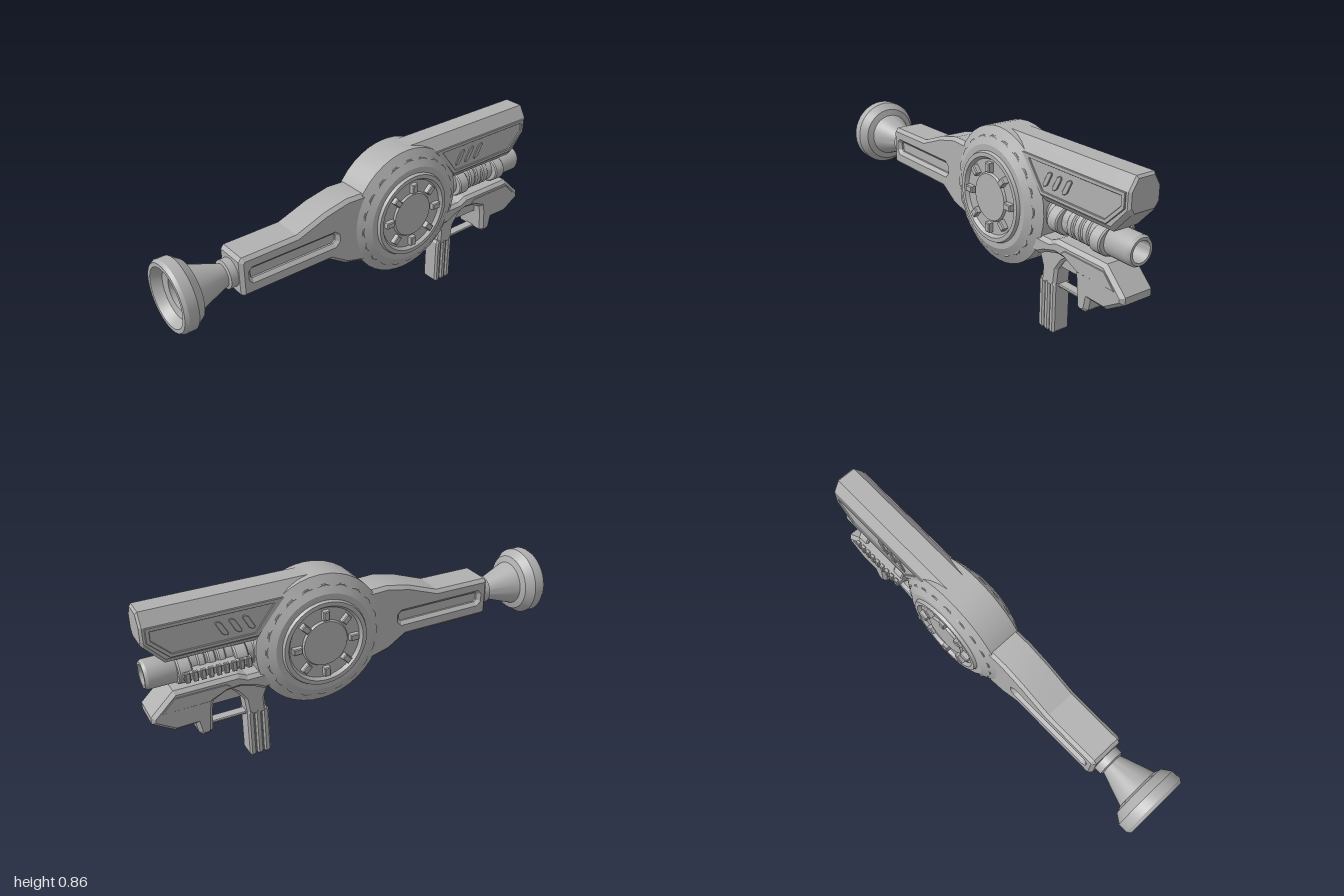
import * as THREE from 'three';
import { toCreasedNormals } from 'three/addons/utils/BufferGeometryUtils.js';

const AXIS_Y = 0.545; // height of the barrel axis
const DISC_X = 0.203; // centre of the drum

export function createModel() {
  const group = new THREE.Group();
  const grey = new THREE.MeshStandardMaterial({ color: 0xb0b0b0 });
  grey.name = 'grey metal';

  const add = (name, geo, x = 0, y = 0, z = 0, crease = 0.5) => {
    const mesh = new THREE.Mesh(toCreasedNormals(geo, crease), grey);
    mesh.name = name;
    mesh.position.set(x, y, z);
    group.add(mesh);
    return mesh;
  };
  const vecs = (pts) => pts.map(([x, y]) => new THREE.Vector2(x, y));

  // Side outline extruded to z = -half..half with chamfered edges
  const slab = (pts, half, bevel, holes = []) => {
    const shape = new THREE.Shape(vecs(pts));
    holes.forEach((h) => shape.holes.push(new THREE.Path(vecs(h))));
    const geo = new THREE.ExtrudeGeometry(shape, {
      depth: 2 * (half - bevel), bevelEnabled: bevel > 0, bevelThickness: bevel,
      bevelSize: bevel, bevelOffset: -bevel, bevelSegments: 1,
    });
    return geo.translate(0, 0, bevel - half);
  };

  // Turned part along x: points are [radius, x]
  const turned = (pts, seg = 40) => new THREE.LatheGeometry(vecs(pts), seg).rotateZ(-Math.PI / 2);

  // Skin over closed rings of [x, y, z] points, with flat end caps
  const loft = (rings) => {
    const n = rings[0].length, idx = [];
    for (let r = 0; r < rings.length - 1; r++) {
      for (let i = 0; i < n; i++) {
        const j = (i + 1) % n, a = r * n + i, b = r * n + j;
        idx.push(a, b, b + n, a, b + n, a + n);
      }
    }
    const last = (rings.length - 1) * n;
    for (let i = 1; i < n - 1; i++) {
      idx.push(0, i + 1, i, last, last + i, last + i + 1);
    }
    const geo = new THREE.BufferGeometry();
    geo.setAttribute('position', new THREE.Float32BufferAttribute(rings.flat(2), 3));
    geo.setIndex(idx);
    return geo;
  };

  // Rear bell with a stepped, hollow dish
  add('rearBell', turned([[0, -0.88], [0.07, -0.88], [0.075, -0.95], [0.112, -0.957], [0.135, -1], [0.153, -1],
    [0.163, -0.985], [0.163, -0.94], [0.135, -0.9], [0.105, -0.89], [0.052, -0.74],
    [0.066, -0.735], [0.066, -0.69], [0, -0.69]]), 0, AXIS_Y);

  // Stock with a long recess on both sides
  const slot = [[-0.648, 0.535], [-0.638, 0.525], [-0.218, 0.525], [-0.205, 0.538],
    [-0.205, 0.562], [-0.218, 0.575], [-0.638, 0.575], [-0.648, 0.565]];
  add('stock', slab([[-0.7, 0.465], [-0.685, 0.452], [-0.24, 0.452], [-0.15, 0.395], [0, 0.355],
    [0.1, 0.4], [0.1, 0.7], [-0.04, 0.722], [-0.14, 0.726], [-0.26, 0.7], [-0.41, 0.645],
    [-0.685, 0.642], [-0.7, 0.625]], 0.085, 0.016, [slot]), 0, 0, 0, 0.3);
  add('stockRecessFloor', new THREE.BoxGeometry(0.52, 0.12, 0.12), -0.425, 0.55);

  // Round drum with raised rim rings
  const half = [[0.313, 0.078], [0.235, 0.12], [0.208, 0.12], [0.202, 0.134], [0.183, 0.134],
    [0.172, 0.118], [0.112, 0.118], [0.106, 0.128], [0, 0.128]];
  const drum = [...half.map(([r, z]) => [r, -z]).reverse(), ...half];
  add('drum', new THREE.LatheGeometry(vecs(drum), 40).rotateX(Math.PI / 2), DISC_X, AXIS_Y, 0, 0.3);

  // Scalloped step round the drum
  const scallops = [];
  for (let i = 0; i < 80; i++) {
    const a = (i / 80) * Math.PI * 2, r = i % 4 < 2 ? 0.276 : 0.269;
    scallops.push([Math.cos(a) * r, Math.sin(a) * r]);
  }
  add('drumScallopedStep', slab(scallops, 0.103, 0.003), DISC_X, AXIS_Y);

  // Eight lugs on each drum face
  for (const side of [1, -1]) {
    for (let i = 0; i < 8; i++) {
      const a = (i * Math.PI) / 4;
      const lug = add('drumLug', slab([[-0.022, -0.015], [0.022, -0.015], [0.022, 0.015], [-0.022, 0.015]], 0.016, 0.004),
        DISC_X + Math.cos(a) * 0.14, AXIS_Y + Math.sin(a) * 0.14, side * 0.127);
      lug.rotation.z = a;
    }
  }

  // Upper housing with sloped shoulders and an undercut nose
  const housingRing = ([x, low, inset]) => {
    const right = [[0.855 - inset, 0.046 - inset / 2], [0.797, 0.081 - inset],
      [low + 0.025, 0.081 - inset], [low, 0.062 - inset]];
    const left = right.map(([y, z]) => [y, -z]).reverse();
    return [...right, ...left].map(([y, z]) => [x, y, z]);
  };
  add('upperHousing', loft([[0.2, 0.612, 0], [0.905, 0.612, 0], [0.985, 0.7, 0], [0.995, 0.71, 0.01]].map(housingRing)),
    0, 0, 0, 0.2);

  // Framed side panels with three slanted vents
  const frameOut = [[0.375, 0.795], [0.5, 0.642], [0.885, 0.642], [0.975, 0.73], [0.975, 0.795]];
  const frameIn = [[0.42, 0.778], [0.512, 0.659], [0.877, 0.659], [0.957, 0.737], [0.957, 0.778]];
  const vent = [[-0.026, -0.035], [-0.015, -0.035], [0, -0.025], [0.026, 0.025],
    [0.024, 0.035], [0.013, 0.035], [0, 0.027], [-0.028, -0.025]];
  for (const side of [1, -1]) {
    add('panelFrame', slab(frameOut, 0.006, 0.002, [frameIn]), 0, 0, side * 0.082);
    for (let i = 0; i < 3; i++) {
      add('panelVent', slab(vent, 0.005, 0.002), 0.54 + i * 0.06, 0.717, side * 0.082);
    }
  }

  // Barrel with an open muzzle, oval collars and thin rings
  add('barrel', turned([[0, 0.4], [0.062, 0.4], [0.062, 0.84], [0.066, 0.85], [0.066, 0.982],
    [0.058, 0.995], [0.046, 0.995], [0.044, 0.88], [0, 0.88]]), 0, AXIS_Y);
  const ring = (name, x, w, r) => add(name, turned([[0, x - w], [r - 0.006, x - w], [r, x - w + 0.006],
    [r, x + w - 0.006], [r - 0.006, x + w], [0, x + w]]), 0, AXIS_Y);
  for (const x of [0.58, 0.83]) ring('barrelCollar', x, 0.03, 0.093).scale.y = 0.74;
  for (const x of [0.5, 0.66, 0.705, 0.75]) ring('barrelRing', x, 0.018, 0.068);

  // Toothed rack on the far side of the barrel
  add('rackBar', new THREE.BoxGeometry(0.3, 0.03, 0.05), 0.695, AXIS_Y, -0.085);
  for (let i = 0; i < 9; i++) {
    add('rackTooth', slab([[-0.01, -0.024], [0.01, -0.024], [0.01, 0.024], [-0.01, 0.024]], 0.009, 0.003),
      0.56 + i * 0.034, AXIS_Y, -0.113);
  }

  // Lower fore body, arched over the trigger space
  add('lowerForeBody', slab([[0.3, 0.33], [0.44, 0.375], [0.48, 0.365], [0.53, 0.39], [0.6, 0.41],
    [0.66, 0.405], [0.72, 0.375], [0.735, 0.285], [0.9, 0.282], [0.995, 0.34], [0.995, 0.372],
    [0.89, 0.474], [0.6, 0.474], [0.56, 0.455], [0.3, 0.455]], 0.085, 0.016), 0, 0, 0, 0.3);
  for (const side of [1, -1]) {
    add('lowerSidePlate', slab([[0.64, 0.43], [0.74, 0.384], [0.95, 0.384], [0.89, 0.446], [0.66, 0.446]], 0.004, 0.002),
      0, 0, side * 0.084);
  }
  add('foreStop', slab([[0.725, 0.36], [0.735, 0.23], [0.755, 0.217], [0.78, 0.217], [0.798, 0.235],
    [0.81, 0.3], [0.81, 0.36]], 0.085, 0.016), 0, 0, 0, 0.3);

  // Trigger space: thin web above and guard bar below
  add('triggerWeb', new THREE.BoxGeometry(0.2, 0.085, 0.06), 0.64, 0.373);
  add('triggerGuard', slab([[0.54, 0.225], [0.745, 0.225], [0.745, 0.238], [0.54, 0.238]], 0.025, 0.004));

  // Grip: flared neck and three upright ribs
  add('gripNeck', slab([[0.468, 0.22], [0.556, 0.22], [0.566, 0.31], [0.6, 0.36], [0.64, 0.4],
    [0.45, 0.4], [0.452, 0.35], [0.472, 0.3]], 0.045, 0.012), 0, 0, 0, 0.3);
  add('gripCore', slab([[0.465, 0.01], [0.552, 0.01], [0.552, 0.25], [0.465, 0.25]], 0.038, 0.006));
  for (const x of [0.473, 0.508, 0.543]) {
    add('gripRib', slab([[-0.017, 0.012], [-0.007, 0], [0.007, 0], [0.017, 0.012],
      [0.017, 0.235], [0.007, 0.25], [-0.007, 0.25], [-0.017, 0.235]], 0.046, 0.009), x, 0, 0, 0.3);
  }
  return group;
}
